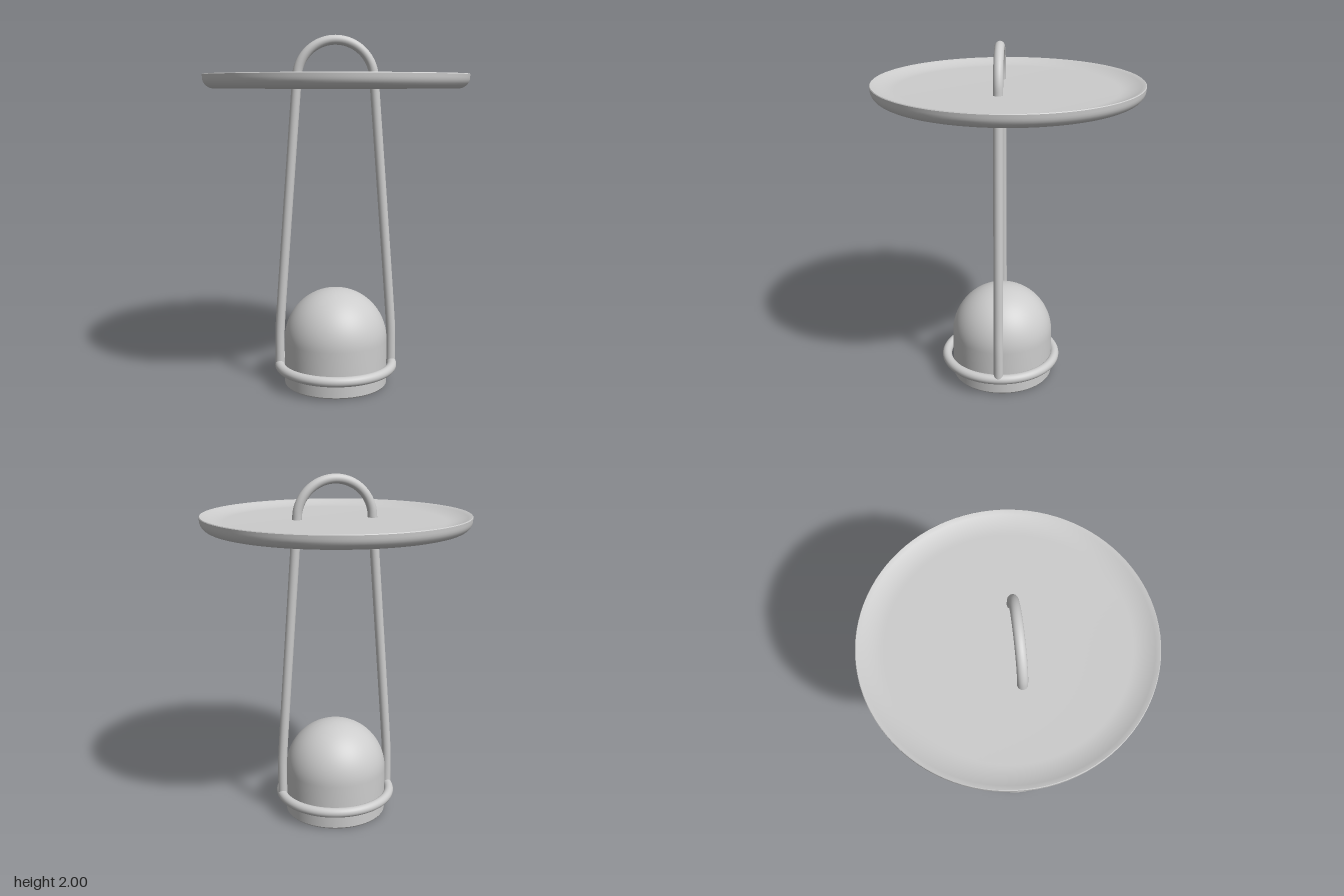
import * as THREE from 'three';
import { toCreasedNormals } from 'three/addons/utils/BufferGeometryUtils.js';

export function createModel() {
  const model = new THREE.Group();
  model.name = 'sideTable';
  const metal = new THREE.MeshStandardMaterial({ color: 0xcccccc, side: THREE.DoubleSide });
  metal.name = 'light grey metal';

  const add = (name, geometry, x, y, z) => {
    const mesh = new THREE.Mesh(geometry, metal);
    mesh.name = name;
    mesh.position.set(x, y, z);
    model.add(mesh);
    return mesh;
  };
  const lathe = (points, segments) =>
    toCreasedNormals(new THREE.LatheGeometry(points, segments), 0.6);

  // Shallow round tray: flat underside, rounded lower edge, thin lip, dished top
  const tray = [new THREE.Vector2(0, 1.706), new THREE.Vector2(0.68, 1.706)];
  for (let i = 1; i <= 8; i++) {
    const a = (i / 8) * Math.PI / 2;
    tray.push(new THREE.Vector2(0.68 + 0.065 * Math.sin(a), 1.766 - 0.06 * Math.cos(a)));
  }
  tray.push(new THREE.Vector2(0.746, 1.783), new THREE.Vector2(0.743, 1.787), new THREE.Vector2(0.738, 1.786));
  for (let i = 1; i <= 8; i++) {
    const t = 1 - i / 8;
    tray.push(new THREE.Vector2(0.61 + 0.126 * t, 1.755 + 0.03 * t * t));
  }
  tray.push(new THREE.Vector2(0, 1.755));
  add('trayTop', lathe(tray, 96), 0, 0, 0);

  // Hollow domed weight, open underneath
  const R = 0.297, shoulder = 0.264;
  const dome = [new THREE.Vector2(R - 0.006, 0), new THREE.Vector2(R, 0.008), new THREE.Vector2(R, shoulder)];
  for (let i = 1; i <= 24; i++) {
    const a = (i / 24) * Math.PI / 2;
    dome.push(new THREE.Vector2(i === 24 ? 0 : R * Math.cos(a), shoulder + R * Math.sin(a)));
  }
  add('domeBase', lathe(dome, 72), -0.005, 0, 0.035);

  // Ring around the dome
  const ring = add('baseRing', new THREE.TorusGeometry(0.326, 0.028, 20, 96), -0.005, 0.115, 0.045);
  ring.rotation.x = Math.PI / 2;

  // Bent rod: two tapering legs joined by the arched handle
  const leg = [[0.324, 0.115], [0.324, 0.22], [0.323, 0.31], [0.318, 0.4], [0.27, 1.05], [0.222, 1.68]];
  const path = leg.map(([x, y]) => new THREE.Vector3(x, y, 0));
  for (let i = 0; i <= 16; i++) {
    const a = (i / 16) * Math.PI;
    path.push(new THREE.Vector3(0.216 * Math.cos(a), 1.757 + 0.216 * Math.sin(a), 0));
  }
  [...leg].reverse().forEach(([x, y]) => path.push(new THREE.Vector3(-x, y, 0)));
  const curve = new THREE.CatmullRomCurve3(path, false, 'centripetal');
  add('handleRod', new THREE.TubeGeometry(curve, 220, 0.027, 20), -0.006, 0, 0.045);

  return model;
}
